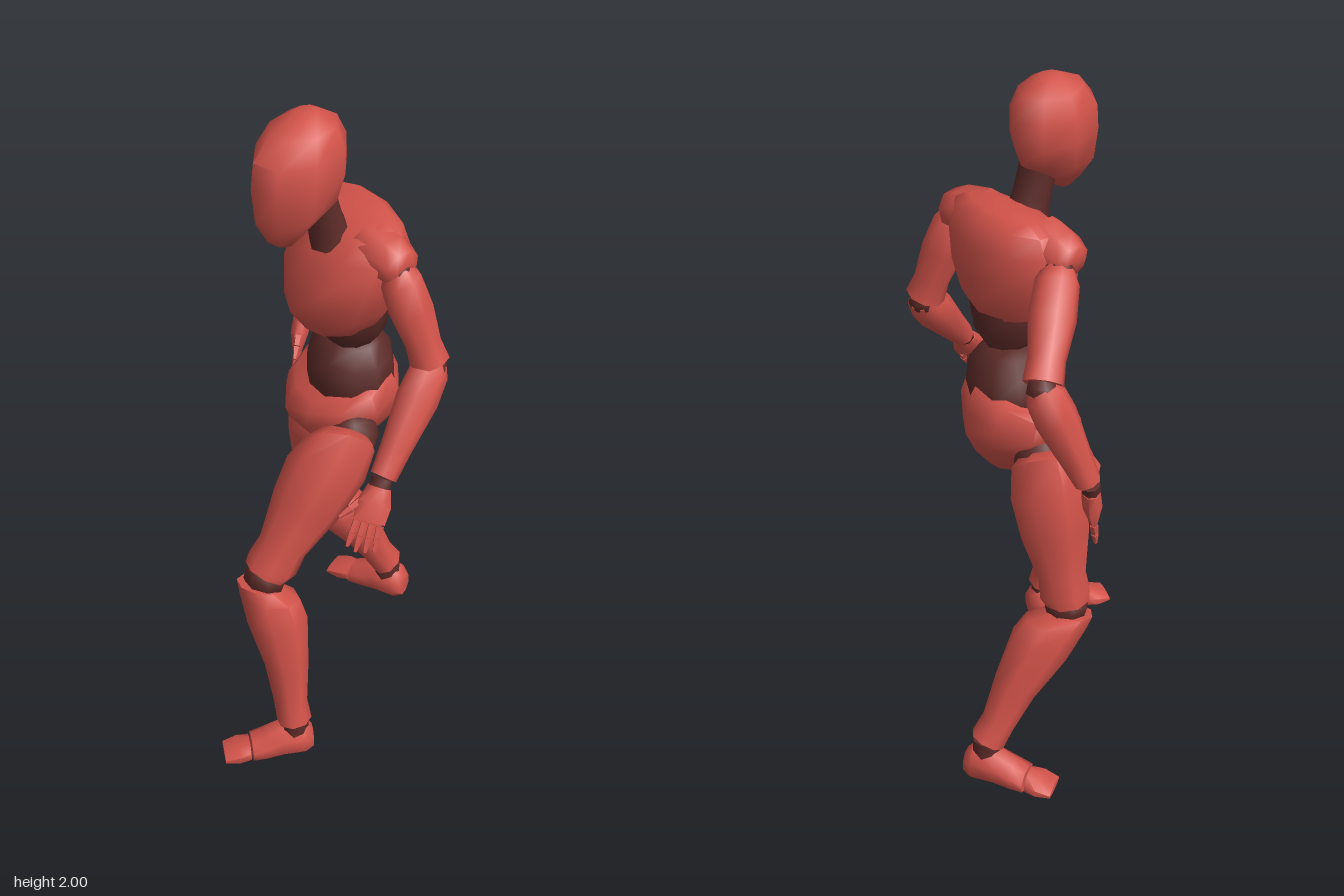
import * as THREE from 'three';
import { toCreasedNormals } from 'three/addons/utils/BufferGeometryUtils.js';

const shell = new THREE.MeshStandardMaterial({ color: 0xd2534a });
const joint = new THREE.MeshStandardMaterial({ color: 0x5c2b28 });
const V = (a) => new THREE.Vector3(...a);

// Closed loft from a to b. Rings: [t, half side, half front, front shift, tilt by side, tilt by front]
function loft(name, a, b, front, rings, mat = shell, n = 8) {
  const A = V(a), axis = V(b).sub(A), len = axis.length();
  axis.normalize();
  const f = V(front);
  f.addScaledVector(axis, -f.dot(axis)).normalize();
  const side = f.clone().cross(axis);
  const pos = [], idx = [], grow = 1 / Math.cos(Math.PI / n);
  const put = (x, z, h) => {
    const p = A.clone().addScaledVector(side, x).addScaledVector(f, z).addScaledVector(axis, h);
    pos.push(p.x, p.y, p.z);
  };
  for (const [t, w, d, shift = 0, k = 0, m = 0] of rings) {
    for (let j = 0; j < n; j++) {
      const q = ((j + 0.5) / n) * Math.PI * 2;
      const x = Math.cos(q) * w * grow, z = Math.sin(q) * d * grow;
      put(x, z + shift, t * len + k * x + m * z);
    }
  }
  const last = rings.length - 1;
  for (let i = 0; i < last; i++) {
    for (let j = 0; j < n; j++) {
      const p = i * n + j, q = i * n + ((j + 1) % n);
      idx.push(p, q, q + n, p, q + n, p + n);
    }
  }
  for (const r of [0, last]) {
    const c = pos.length / 3;
    put(0, rings[r][3] || 0, rings[r][0] * len);
    for (let j = 0; j < n; j++) {
      const p = r * n + j, q = r * n + ((j + 1) % n);
      if (r) idx.push(c, p, q); else idx.push(c, q, p);
    }
  }
  const g = new THREE.BufferGeometry();
  g.setAttribute('position', new THREE.Float32BufferAttribute(pos, 3));
  g.setIndex(idx);
  const mesh = new THREE.Mesh(toCreasedNormals(g.toNonIndexed(), 1.05), mat);
  mesh.name = name;
  return mesh;
}

function ball(name, p, r) {
  const mesh = new THREE.Mesh(new THREE.SphereGeometry(r, 8, 6), joint);
  mesh.position.set(...p);
  mesh.name = name;
  return mesh;
}

// s is +1 for the left leg, -1 for the right
function makeLeg(name, s, hip, knee, ankle, front, heel, tip) {
  const g = new THREE.Group();
  g.name = name;
  g.add(ball('hipJoint', hip.map((v, i) => v - (i === 1 ? 0.05 : 0)), 0.076));
  g.add(loft('thigh', hip, knee, front, [
    [0.07, 0.05, 0.06, 0, -0.6 * s], [0.14, 0.088, 0.088, 0, -0.7 * s], [0.3, 0.104, 0.104, 0, -0.4 * s],
    [0.52, 0.092, 0.094], [0.8, 0.062, 0.066], [0.92, 0.066, 0.07], [0.98, 0.062, 0.06, 0.005]]));
  g.add(ball('kneeJoint', knee, 0.064));
  g.add(loft('shin', knee, ankle, front, [
    [0.04, 0.06, 0.055, 0.025, 0, -0.4], [0.13, 0.078, 0.079, 0, 0, -0.3], [0.3, 0.08, 0.082, -0.008],
    [0.6, 0.06, 0.06, -0.01], [0.85, 0.047, 0.046], [0.98, 0.05, 0.048]]));
  const low = [ankle[0], 0.07, ankle[2]];
  g.add(loft('ankleJoint', [ankle[0], ankle[1] + 0.02, ankle[2]], low, front, [[0, 0.037, 0.037], [1, 0.04, 0.04]], joint));
  g.add(loft('foot', heel, tip, [0, 1, 0], [
    [0, 0.032, 0.036, 0.05], [0.1, 0.05, 0.058, 0.058], [0.35, 0.05, 0.056, 0.056],
    [0.55, 0.05, 0.041, 0.041], [0.69, 0.048, 0.032, 0.033]]));
  g.add(loft('toe', heel, tip, [0, 1, 0], [
    [0.71, 0.042, 0.029, 0.031], [0.84, 0.048, 0.025, 0.027], [1, 0.042, 0.009, 0.022]]));
  return g;
}

// across points from the middle of the palm to the thumb
function makeArm(name, shoulder, elbow, wrist, knuckle, front, across) {
  const g = new THREE.Group();
  g.name = name;
  g.add(ball('shoulderJoint', shoulder, 0.042));
  g.add(loft('upperArm', shoulder, elbow, front, [
    [-0.02, 0.036, 0.038], [0.1, 0.052, 0.055], [0.4, 0.055, 0.06], [0.75, 0.045, 0.047], [0.95, 0.051, 0.05]]));
  g.add(ball('elbowJoint', elbow, 0.043));
  g.add(loft('forearm', elbow, wrist, front, [
    [-0.04, 0.036, 0.036], [0.05, 0.049, 0.05], [0.28, 0.053, 0.054], [0.7, 0.039, 0.04], [0.94, 0.034, 0.033]]));
  const K = V(knuckle), W = V(wrist), dir = K.clone().sub(W).normalize(), A = V(across);
  A.addScaledVector(dir, -A.dot(dir)).normalize();
  const palmNormal = dir.clone().cross(A).toArray();
  g.add(loft('wristJoint', wrist, knuckle, palmNormal, [[-0.15, 0.027, 0.025], [0.25, 0.027, 0.023]], joint));
  g.add(loft('palm', wrist, knuckle, palmNormal, [[0.08, 0.031, 0.024], [0.5, 0.045, 0.026], [0.95, 0.043, 0.014]]));
  const digit = (label, base, d, len, r) => {
    const mid = base.clone().addScaledVector(d, len * 0.48);
    const end = base.clone().addScaledVector(d, len);
    g.add(loft(label + 'Base', base.toArray(), mid.toArray(), palmNormal, [[0, r, r], [0.94, r * 0.85, r * 0.85]], shell, 5));
    g.add(loft(label + 'Tip', mid.toArray(), end.toArray(), palmNormal, [[0.02, r * 0.9, r * 0.9], [1, r * 0.4, r * 0.4]], shell, 5));
  };
  for (let i = 0; i < 4; i++) {
    const u = i - 1.5;
    const d = dir.clone().addScaledVector(A, u * 0.05).normalize();
    digit('finger', K.clone().addScaledVector(A, u * 0.021), d, 0.085 - Math.abs(u - 0.3) * 0.008, 0.0095);
  }
  digit('thumb', W.clone().lerp(K, 0.5).addScaledVector(A, 0.034), dir.clone().addScaledVector(A, 0.75).normalize(), 0.075, 0.011);
  return g;
}

export function createModel() {
  const model = new THREE.Group();
  model.name = 'jointedFigure';
  const chestFront = [-0.38, 0, 0.92], hipFront = [-0.6, 0, 0.8];

  // Head and neck
  model.add(loft('head', [-0.024, 1.66, 0.085], [-0.024, 2, 0.085], [0, 0, 1], [
    [0, 0.018, 0.02, 0.052, 0, -0.2], [0.11, 0.045, 0.072, 0.038, 0, -0.25], [0.29, 0.086, 0.125, 0.012, 0, -0.15],
    [0.53, 0.099, 0.142, 0.002], [0.73, 0.098, 0.135, -0.002], [0.9, 0.075, 0.095, -0.015], [1, 0.025, 0.03, -0.025]]));
  model.add(loft('neck', [0.012, 1.62, 0.005], [-0.005, 1.76, 0.04], [0, 0, 1], [[0, 0.055, 0.055], [0.4, 0.047, 0.047], [1, 0.047, 0.047]], joint));

  // Torso
  const low = [0.015, 1.27, -0.06], high = [0.02, 1.69, -0.06];
  model.add(loft('ribs', low, high, chestFront, [
    [0, 0.055, 0.06, -0.02], [0.12, 0.095, 0.09, -0.015], [0.32, 0.115, 0.115], [0.45, 0.11, 0.11]], joint, 10));
  model.add(loft('chest', low, high, chestFront, [
    [0.21, 0.1, 0.11, 0.012, 0, -0.1], [0.37, 0.146, 0.148, 0.018, 0, -0.08], [0.6, 0.182, 0.146, 0.006],
    [0.8, 0.195, 0.12, -0.015], [0.93, 0.175, 0.088, -0.025, 0, -0.08], [0.985, 0.12, 0.05, -0.032, 0, -0.15]], shell, 10));
  model.add(loft('waist', [-0.005, 1.05, -0.1], [0.012, 1.29, -0.095], hipFront, [
    [0, 0.12, 0.1], [0.45, 0.14, 0.12], [0.75, 0.13, 0.106], [0.93, 0.088, 0.075], [1, 0.05, 0.05]], joint, 10));
  model.add(loft('pelvis', [-0.005, 0.91, -0.108], [-0.03, 1.15, -0.082], hipFront, [
    [0, 0.05, 0.07], [0.2, 0.09, 0.118], [0.45, 0.145, 0.155], [0.68, 0.178, 0.162, 0, 0, -0.1],
    [0.9, 0.177, 0.146, 0, 0, -0.25], [0.98, 0.152, 0.122, 0, 0, -0.25]], shell, 10));

  // Shoulder caps
  const cap = [[0, 0.065, 0.055], [0.55, 0.065, 0.06], [0.88, 0.053, 0.05], [1, 0.035, 0.034]];
  model.add(loft('leftShoulder', [0.1, 1.63, -0.04], [0.24, 1.595, -0.012], [0, 1, 0], cap));
  model.add(loft('rightShoulder', [-0.08, 1.63, -0.095], [-0.2, 1.59, -0.135], [0, 1, 0], cap));

  // Limbs
  model.add(makeArm('leftArm', [0.21, 1.59, -0.015], [0.308, 1.312, -0.047], [0.317, 1.065, 0.185], [0.328, 0.978, 0.25],
    [0, 0.3, 1], [-0.85, 0.3, 0.5]));
  model.add(makeArm('rightArm', [-0.165, 1.58, -0.155], [-0.225, 1.355, -0.36], [-0.345, 1.065, -0.317], [-0.338, 0.95, -0.285],
    [-0.4, 0, 1], [0.5, 0, 0.85]));
  model.add(makeLeg('leftLeg', 1, [0.1, 1.07, 0.02], [0, 0.635, 0.29], [0.11, 0.12, 0.305], [-0.55, 0, 0.83],
    [0.145, 0, 0.265], [-0.035, 0, 0.465]));
  model.add(makeLeg('rightLeg', -1, [-0.13, 1.06, -0.185], [-0.225, 0.55, -0.207], [-0.08, 0.13, -0.425], [-0.85, 0, 0.5],
    [-0.022, 0, -0.44], [-0.29, 0, -0.4]));
  return model;
}
